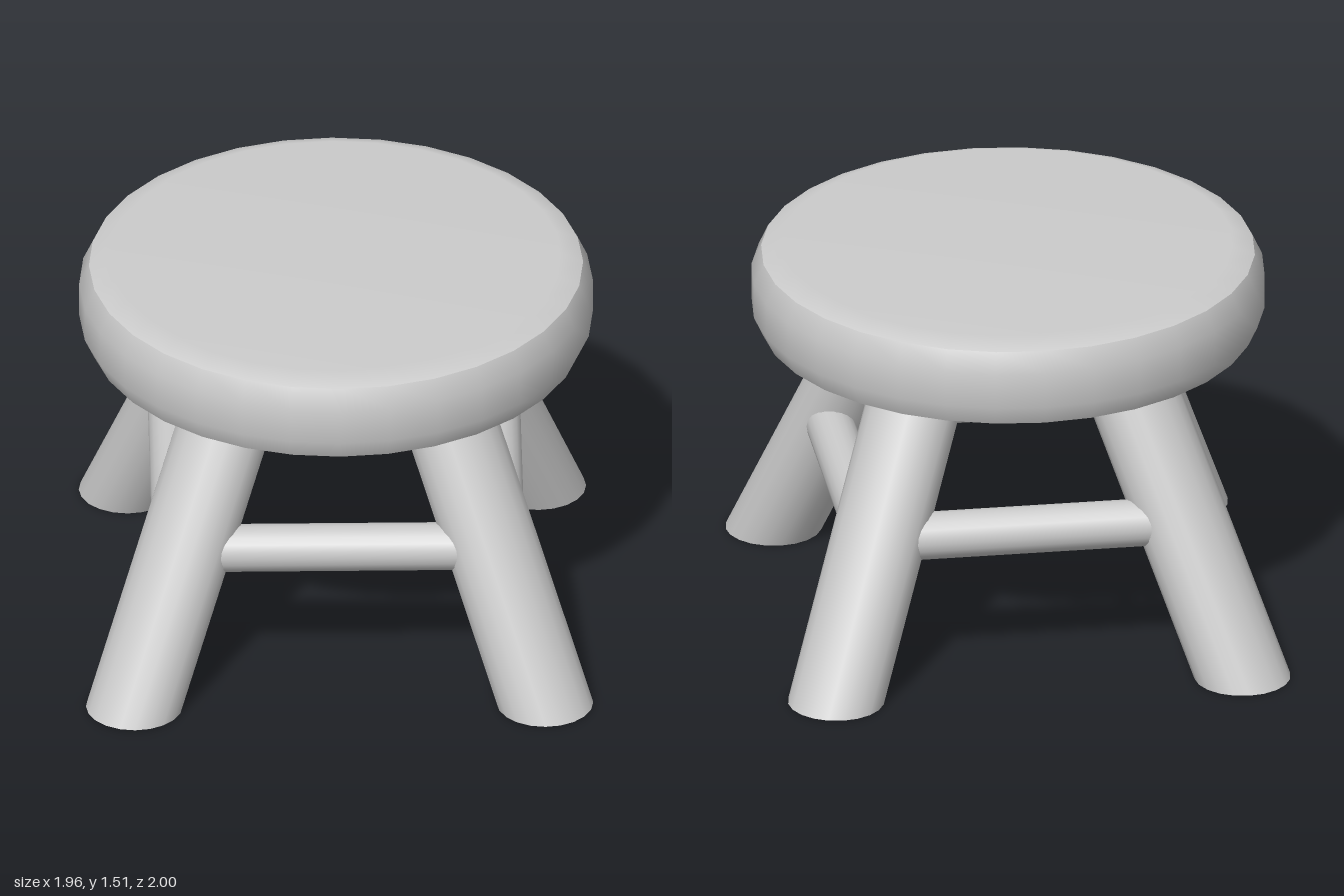
import * as THREE from 'three';

const material = new THREE.MeshStandardMaterial({ color: 0xcccccc });

function add(parent, name, geometry) {
  const mesh = new THREE.Mesh(geometry, material);
  mesh.name = name;
  parent.add(mesh);
  return mesh;
}

// Smooth lathe band; the points run from the bottom upwards
function band(parent, name, points) {
  add(parent, name, new THREE.LatheGeometry(points.map(([r, y]) => new THREE.Vector2(r, y)), 32));
}

// Slanted leg with level ends: a cylinder sheared towards the seat centre
function legGeometry(sx, sz) {
  const height = 1.25;
  const geometry = new THREE.CylinderGeometry(0.185, 0.185, height, 20);
  geometry.translate(0, height / 2, 0);
  const shear = new THREE.Matrix4().set(
    1, -0.351 * sx, 0, 0.785 * sx,
    0, 1, 0, 0,
    0, -0.412 * sz, 1, 0.815 * sz,
    0, 0, 0, 1
  );
  return geometry.applyMatrix4(shear);
}

export function createModel() {
  const stool = new THREE.Group();
  stool.name = 'stool';

  // Seat: creased rims between the underside, rounded side and top
  const seat = new THREE.Group();
  seat.name = 'seat';
  stool.add(seat);
  band(seat, 'seatUnderside', [[0, 1.14], [0.86, 1.14], [0.945, 1.175]]);
  band(seat, 'seatSide', [[0.945, 1.175], [0.982, 1.255], [0.982, 1.395], [0.945, 1.475]]);
  band(seat, 'seatTop', [[0.945, 1.475], [0.86, 1.51], [0, 1.51]]);

  // Four splayed legs
  for (const sx of [-1, 1]) {
    for (const sz of [-1, 1]) {
      add(stool, `${sz > 0 ? 'front' : 'back'}${sx > 0 ? 'Left' : 'Right'}Leg`, legGeometry(sx, sz));
    }
  }

  // Four stretchers, ending inside the legs
  for (const s of [-1, 1]) {
    const across = add(stool, s > 0 ? 'frontStretcher' : 'backStretcher',
      new THREE.CylinderGeometry(0.092, 0.092, 1.1, 20));
    across.rotation.z = Math.PI / 2;
    across.position.set(0, 0.578, 0.613 * s);

    const along = add(stool, s > 0 ? 'leftStretcher' : 'rightStretcher',
      new THREE.CylinderGeometry(0.092, 0.092, 1.1, 20));
    along.rotation.x = Math.PI / 2;
    along.position.set(0.62 * s, 0.578, 0);
  }
  return stool;
}
